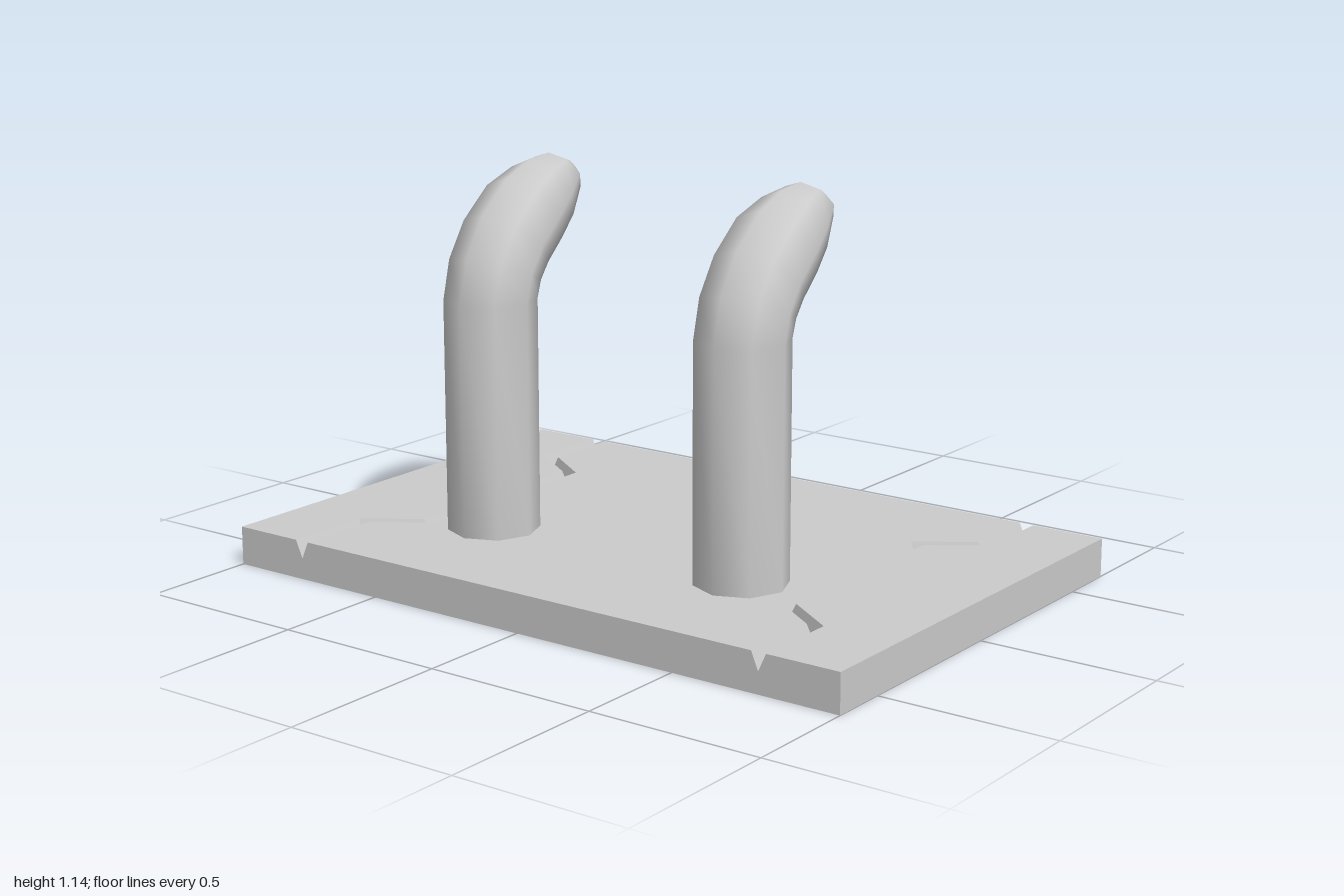
import * as THREE from 'three';

const material = new THREE.MeshStandardMaterial({ color: 0xcccccc });

function buildGeometry(positions, index) {
  const g = new THREE.BufferGeometry();
  g.setAttribute('position', new THREE.Float32BufferAttribute(positions, 3));
  g.setIndex(index);
  return g;
}

// Slab lofted along z, with a V groove that jogs inwards near each short edge
function plateGeometry() {
  const H = 0.11, V = 0.06, D = 0.667;
  // stations: z at groove's outer lip, z at inner lip, inward shift
  const stations = [
    [-D, -D, 0], [-0.425, -0.435, 0], [-0.32, -0.33, 0.153],
    [0.307, 0.317, 0.153], [0.412, 0.422, 0], [D, D, 0],
  ];
  const positions = [], index = [], n = 10;
  const sections = stations.map(([zo, zi, s]) => {
    const zm = (zo + zi) / 2;
    return [
      [-1, 0, zo], [-1, H, zo],
      [-0.79 + s, H, zo], [-0.767 + s, V, zm], [-0.745 + s, H, zi],
      [0.741 - s, H, zi], [0.762 - s, V, zm], [0.785 - s, H, zo],
      [1, H, zo], [1, 0, zo],
    ];
  });
  sections.forEach((sec) => sec.forEach((p) => positions.push(...p)));
  for (let s = 0; s < stations.length - 1; s++) {
    for (let c = 0; c < n; c++) {
      const a = s * n + c, b = s * n + (c + 1) % n;
      index.push(a, a + n, b, b, a + n, b + n);
    }
  }
  // end faces
  const outline = sections[0].map(([x, y]) => new THREE.Vector2(x, y)).reverse();
  const last = (stations.length - 1) * n;
  for (const tri of THREE.ShapeUtils.triangulateShape(outline, [])) {
    const [a, b, c] = tri.map((i) => n - 1 - i);
    index.push(last + a, last + b, last + c, a, c, b);
  }
  const g = buildGeometry(positions, index).toNonIndexed();
  g.computeVertexNormals();
  return g;
}

// Eight-sided post that bends backwards and tapers to a rounded tip
function hookGeometry() {
  // rings: front z, front y, back z, back y, half width
  const rings = [
    [0.38, 0.1, 0.12, 0.1, 0.13],
    [0.38, 0.765, 0.12, 0.765, 0.13],
    [0.35, 0.89, 0.107, 0.8, 0.13],
    [0.28, 1.0, 0.08, 0.835, 0.13],
    [0.175, 1.09, 0.02, 0.89, 0.127],
    [0.08, 1.13, -0.045, 0.945, 0.105],
    [-0.01, 1.14, -0.1, 1.025, 0.075],
    [-0.065, 1.12, -0.1, 1.07, 0.037],
  ];
  const sides = 8, positions = [], index = [];
  for (const [fz, fy, bz, by, w] of rings) {
    for (let j = 0; j < sides; j++) {
      const t = (j / sides) * Math.PI * 2, k = (1 + Math.cos(t)) / 2;
      positions.push(w * Math.sin(t), by + (fy - by) * k, bz + (fz - bz) * k);
    }
  }
  const tip = rings.length * sides;
  positions.push(0, 1.098, -0.086);
  for (let i = 0; i < rings.length; i++) {
    for (let j = 0; j < sides; j++) {
      const a = i * sides + j, b = i * sides + (j + 1) % sides;
      if (i === rings.length - 1) index.push(a, b, tip);
      else index.push(a, b, a + sides, b, b + sides, a + sides);
    }
  }
  const g = buildGeometry(positions, index);
  g.computeVertexNormals();
  return g;
}

export function createModel() {
  const model = new THREE.Group();
  model.name = 'hookStand';

  const plate = new THREE.Mesh(plateGeometry(), material);
  plate.name = 'basePlate';
  model.add(plate);

  const hook = hookGeometry();
  for (const [name, x] of [['leftHook', 0.421], ['rightHook', -0.425]]) {
    const mesh = new THREE.Mesh(hook, material);
    mesh.name = name;
    mesh.position.x = x;
    model.add(mesh);
  }
  return model;
}
